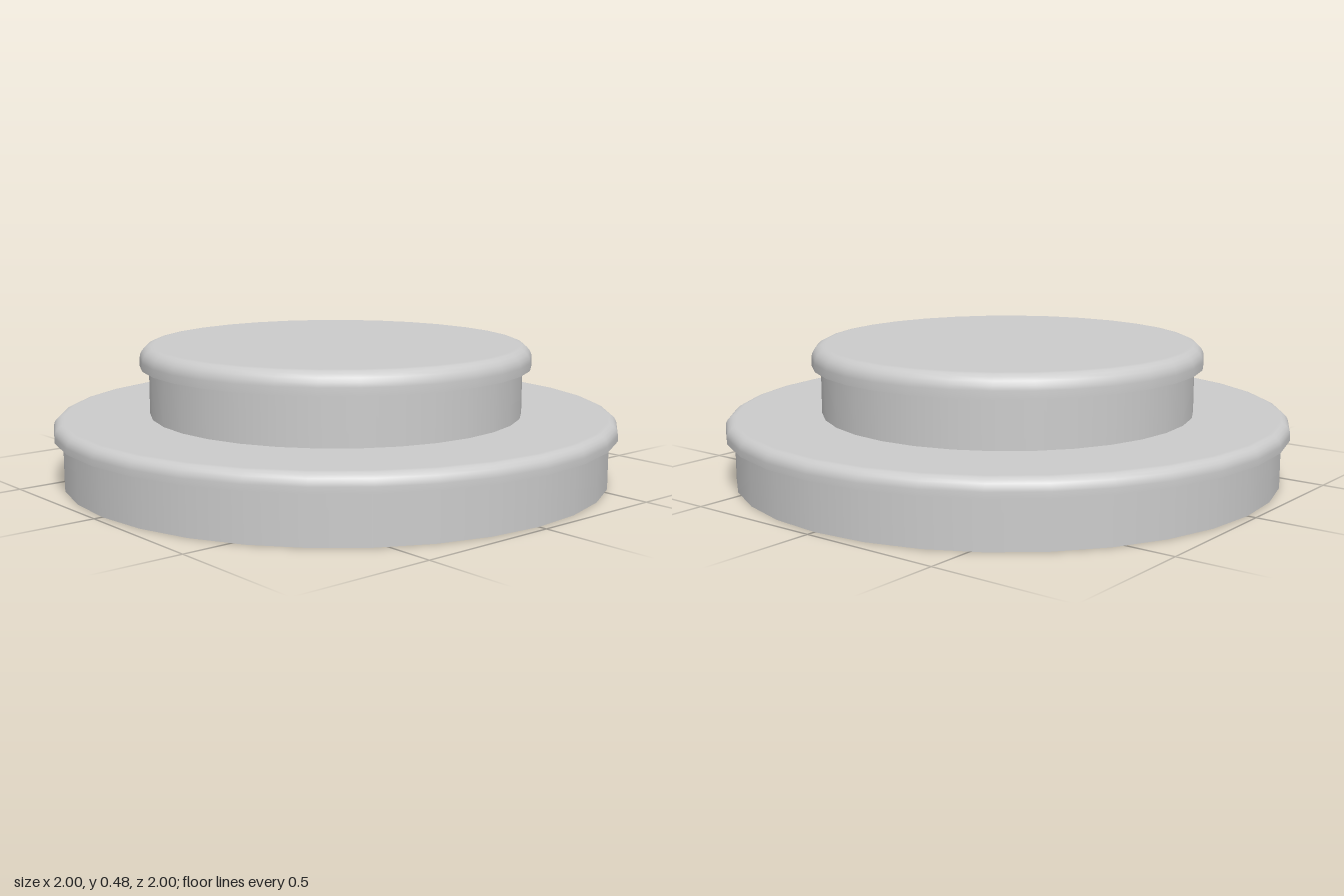
import * as THREE from 'three';

const SEGMENTS = 32;
const material = new THREE.MeshStandardMaterial({ color: 0xcccccc, side: THREE.DoubleSide });

function turned(name, points) {
  const profile = points.map(([x, y]) => new THREE.Vector2(x, y));
  const mesh = new THREE.Mesh(new THREE.LatheGeometry(profile, SEGMENTS), material);
  mesh.name = name;
  return mesh;
}

// Thin open shell: a straight wall under an overhanging cap with a rounded edge.
function tier(name, { wall, rim, base, ledge, top, round, inner }) {
  const group = new THREE.Group();
  group.name = name;
  group.add(turned(name + 'Wall', [[wall, base], [wall, ledge]]));

  // The doubled point keeps the ledge corner sharp.
  const cap = [[wall, ledge], [rim, ledge], [rim, ledge]];
  const steps = 5;
  for (let i = 0; i <= steps; i++) {
    const a = (i / steps) * Math.PI / 2;
    cap.push([rim - round + round * Math.cos(a), top - round + round * Math.sin(a)]);
  }
  cap.push([inner, top]);
  group.add(turned(name + 'Cap', cap));
  return group;
}

export function createModel() {
  const model = new THREE.Group();
  model.name = 'steppedLid';
  // Wide lower tier, its cap open in the middle
  model.add(tier('lowerTier', {
    wall: 0.97, rim: 1, base: 0, ledge: 0.17, top: 0.23, round: 0.04, inner: 0.663,
  }));
  // Narrow upper tier, closed on top and hollow below
  model.add(tier('upperTier', {
    wall: 0.663, rim: 0.695, base: 0.23, ledge: 0.4, top: 0.477, round: 0.05, inner: 0,
  }));
  return model;
}
